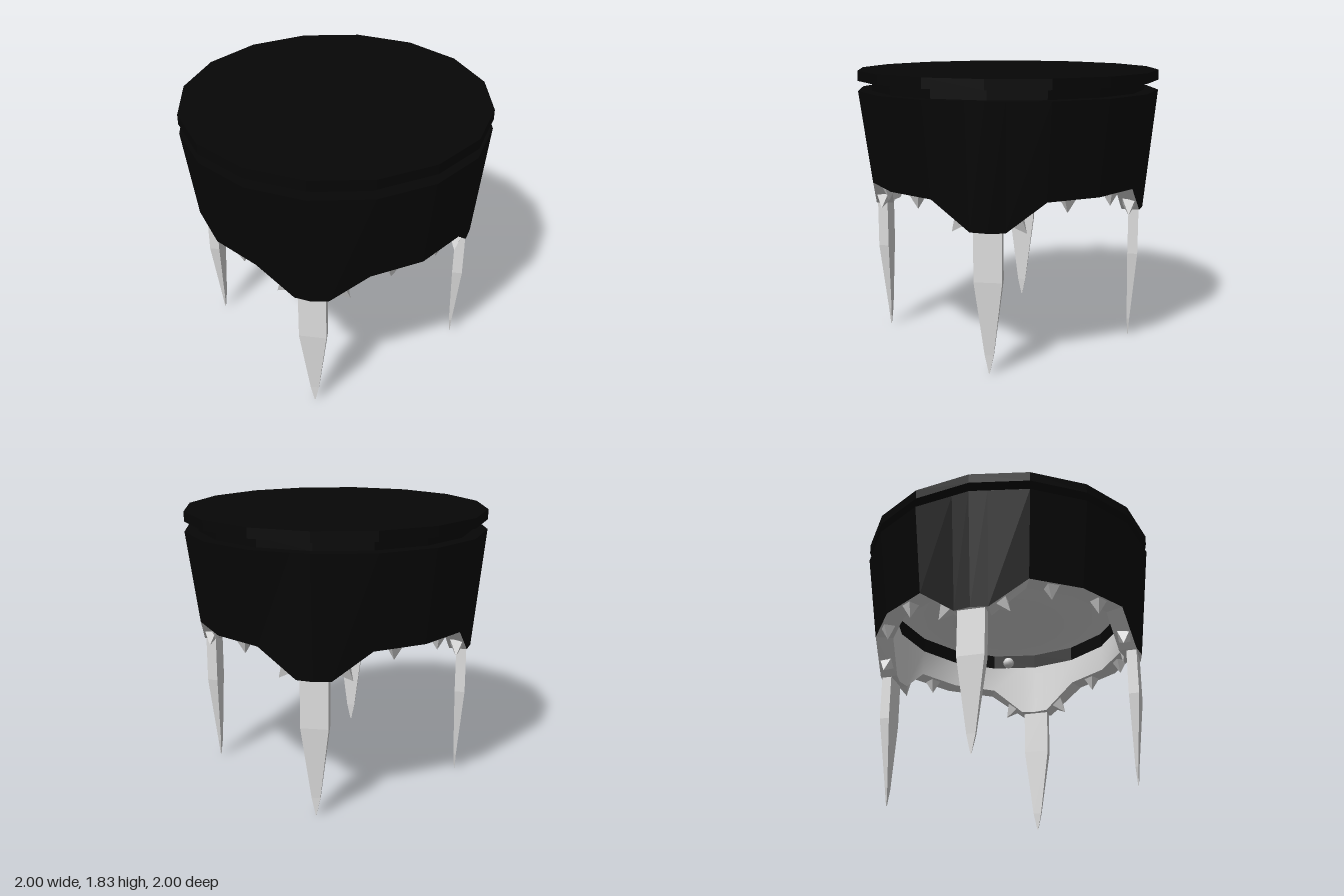
import * as THREE from 'three';
import { mergeVertices } from 'three/addons/utils/BufferGeometryUtils.js';

const black = new THREE.MeshStandardMaterial({ color: 0x060606, side: THREE.DoubleSide });
black.name = 'black';
const bone = new THREE.MeshStandardMaterial({ color: 0xe0e0e0, side: THREE.DoubleSide });
bone.name = 'pale grey';

const SIDES = 16, OUTER = 0.92, INNER = 0.8, LOW = 0.91, HIGH = 1.095;

function part(parent, name, geometry, material) {
  const mesh = new THREE.Mesh(geometry, material);
  mesh.name = name;
  parent.add(mesh);
  return mesh;
}

// Faceted copy of an indexed geometry
function faceted(geometry) {
  const g = geometry.toNonIndexed();
  g.computeVertexNormals();
  return g;
}

function fromPositions(pos) {
  const g = new THREE.BufferGeometry();
  g.setAttribute('position', new THREE.Float32BufferAttribute(pos, 3));
  return g;
}

// Corner of the 16-sided outline at unit radius
function corner(i) {
  const a = (i / SIDES) * Math.PI * 2;
  return new THREE.Vector2(Math.sin(a), Math.cos(a));
}

// Skirt outline: each quarter dips at the leg and rises between legs
function skirtOutline() {
  const out = [];
  for (let q = 0; q < 4; q++) {
    const c = [0, 1, 2, 3, 4].map((k) => corner(q * 4 + k));
    out.push({ d: c[0], y: LOW });
    out.push({ d: c[0].clone().lerp(c[1], 0.31), y: LOW });
    for (const k of [1, 2, 3]) out.push({ d: c[k], y: HIGH });
    out.push({ d: c[4].clone().lerp(c[3], 0.31), y: LOW });
  }
  return out;
}

// Positions of the quads joining two closed loops of points
function bandPositions(lower, upper) {
  const pos = [];
  const n = lower.length;
  for (let i = 0; i < n; i++) {
    const j = (i + 1) % n;
    for (const p of [lower[i], lower[j], upper[j], lower[i], upper[j], upper[i]]) pos.push(p.x, p.y, p.z);
  }
  return pos;
}

function band(lower, upper) {
  const g = fromPositions(bandPositions(lower, upper));
  g.computeVertexNormals();
  return g;
}

function smoothBand(lower, upper) {
  const g = mergeVertices(fromPositions(bandPositions(lower, upper)));
  g.computeVertexNormals();
  return g;
}

function lathe(points) {
  return faceted(new THREE.LatheGeometry(points.map(([r, y]) => new THREE.Vector2(r, y)), SIDES));
}

// Flat blade-like leg, box section tapering to a point
function legGeometry() {
  const sections = [
    [0.003, 0.0, 0.843, 0.847],
    [0.028, 0.12, 0.835, 0.853],
    [0.088, 0.6, 0.828, 0.895],
    [0.088, 0.95, 0.828, 0.895],
  ];
  const loops = sections.map(([w, y, zi, zo]) => [
    new THREE.Vector3(-w, y, zo), new THREE.Vector3(w, y, zo),
    new THREE.Vector3(w, y, zi), new THREE.Vector3(-w, y, zi),
  ]);
  const g = fromPositions([0, 1, 2].flatMap((i) => bandPositions(loops[i], loops[i + 1])));
  g.computeVertexNormals();
  return g;
}

export function createModel() {
  const model = new THREE.Group();
  model.name = 'spikedStool';

  // Seat slab with the recessed groove below it
  part(model, 'seat', lathe([
    [1, 1.70], [0.91, 1.70], [0.91, 1.765], [1, 1.765], [1, 1.83], [0, 1.83],
  ]), black);

  // Scalloped skirt: outer wall, underside rim and inner wall
  const outline = skirtOutline();
  const loop = (r, height) => outline.map(({ d, y }) => new THREE.Vector3(d.x * r, height ?? y, d.y * r));
  const outerLow = loop(OUTER);
  const innerLow = loop(INNER);
  part(model, 'skirt', band(outerLow, loop(1, 1.70)), black);
  part(model, 'skirtRim', band(innerLow, outerLow), bone);
  part(model, 'innerWall', smoothBand(loop(INNER, 1.285), innerLow), bone);
  part(model, 'innerBand', lathe([[INNER, 1.39], [INNER, 1.285]]), black);

  // Shallow bowl under the seat, with a small bead below its middle
  part(model, 'underBowl', lathe([[0, 1.21], [0.2, 1.22], [0.4, 1.25], [0.6, 1.305], [INNER, 1.39]]), bone);
  part(model, 'bead', new THREE.SphereGeometry(0.037, 10, 8), bone).position.y = 0.957;

  // Legs and spikes repeat on every quarter
  const leg = legGeometry();
  const spike = faceted(new THREE.ConeGeometry(0.06, 0.1, 4));
  spike.rotateY(Math.PI / 4);
  spike.rotateX(Math.PI);
  spike.translate(0, -0.04, 0);
  for (let q = 0; q < 4; q++) {
    const quarter = new THREE.Group();
    quarter.name = 'quarter' + (q + 1);
    quarter.rotation.y = (q * Math.PI) / 2;
    model.add(quarter);
    part(quarter, 'leg', leg, bone);

    // Spikes on the sloped rim beside the leg
    for (const s of [-1, 1]) {
      const m = part(quarter, 'slopeSpike', spike, bone);
      m.position.set(s * 0.175, 0.968, 0.83);
      m.rotation.z = s * 0.65;
    }
    // Spikes on the raised rim between legs
    for (const degrees of [33, 57]) {
      const a = THREE.MathUtils.degToRad(degrees);
      const m = part(quarter, 'rimSpike', spike, bone);
      m.position.set(Math.sin(a) * 0.85, HIGH, Math.cos(a) * 0.85);
      m.rotation.y = a;
    }
  }
  return model;
}
